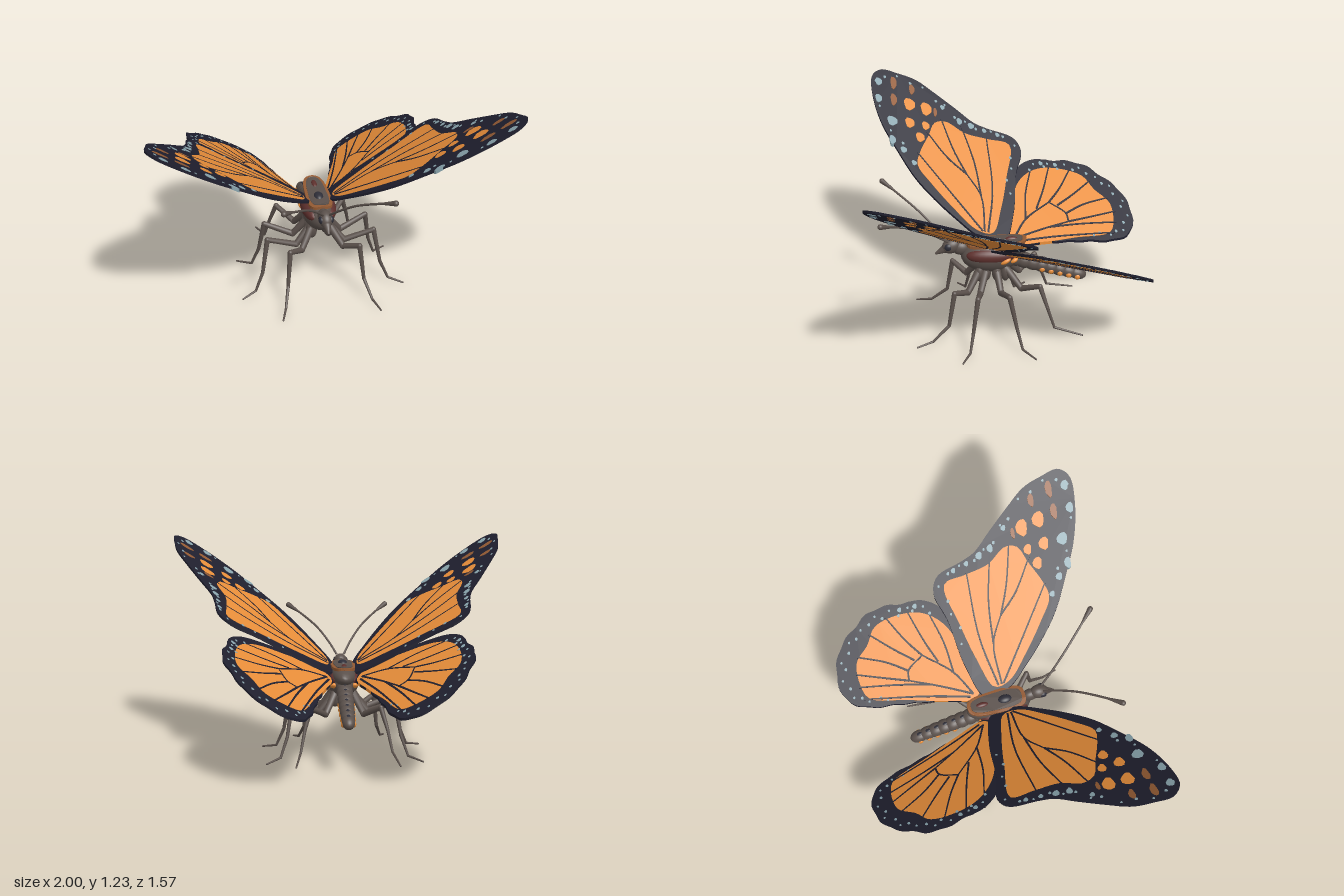
import * as THREE from 'three';
import { mergeGeometries } from 'three/addons/utils/BufferGeometryUtils.js';

const mat = (name, color) => {
  const m = new THREE.MeshStandardMaterial({ color });
  m.name = name;
  return m;
};

export function createModel() {
  const model = new THREE.Group();
  model.name = 'butterfly';
  const navy = mat('wing navy', 0x1f1f2e), orange = mat('wing orange', 0xea8f3a);
  const brown = mat('spot brown', 0x935a33), blue = mat('spot blue grey', 0x8aa5ae);
  const grey = mat('body grey brown', 0x5a504b), red = mat('thorax red brown', 0x5e302d);
  const dark = mat('dark marking', 0x2e2e38);

  const add = (parent, name, geo, material) => {
    const m = new THREE.Mesh(geo, material);
    m.name = name;
    parent.add(m);
    return m;
  };
  const blob = (parent, name, material, p, r, tilt = 0) => {
    const m = add(parent, name, new THREE.SphereGeometry(1, 24, 16), material);
    m.position.set(...p);
    m.scale.set(...r);
    m.rotation.x = tilt;
  };

  // ---- plates: an outline in x, z lifted onto a slanting plane
  const plate = (pts, plane, side, thick) => {
    const shape = new THREE.Shape(pts.map(([x, z]) => new THREE.Vector2(side * x, -z)));
    const g = new THREE.ExtrudeGeometry(shape, { depth: thick, bevelEnabled: false });
    g.rotateX(-Math.PI / 2);
    const p = g.attributes.position;
    for (let i = 0; i < p.count; i++) {
      const x = Math.abs(p.getX(i)), z = p.getZ(i);
      p.setY(i, p.getY(i) - thick / 2 + plane.a + plane.b * x + plane.c * z);
    }
    g.computeVertexNormals();
    return g;
  };
  const smooth = (pts, n = 80, closed = true) => {
    const c = new THREE.CatmullRomCurve3(pts.map(([x, z]) => new THREE.Vector3(x, 0, z)), closed);
    const out = c.getSpacedPoints(n).map(v => [v.x, v.z]);
    if (closed) out.pop();
    return out;
  };
  const spot = ([x, z, rx, rz = rx]) => Array.from({ length: 10 }, (_, i) => {
    const t = i * Math.PI / 5, k = i % 3 ? 1 : 0.85;
    return [x + Math.cos(t) * rx * k, z + Math.sin(t) * rz * k];
  });
  // tapering ribbon along a curved line
  const ribbon = (pts) => {
    const line = smooth(pts, 8, false), a = [], b = [];
    line.forEach(([x, z], i) => {
      const p = line[Math.max(i - 1, 0)], q = line[Math.min(i + 1, line.length - 1)];
      const l = Math.hypot(q[0] - p[0], q[1] - p[1]), w = 0.0055 - 0.002 * i / line.length;
      const nx = -(q[1] - p[1]) / l * w, nz = (q[0] - p[0]) / l * w;
      a.push([x + nx, z + nz]);
      b.unshift([x - nx, z - nz]);
    });
    return a.concat(b);
  };

  const forewing = {
    name: 'forewing', a: 0.46, b: 0.6, c: 0.24,
    outline: [[0.06, 0.02], [0.25, -0.05], [0.49, -0.08], [0.64, -0.12], [0.71, -0.08], [0.74, 0.08],
      [0.76, 0.16], [0.83, 0.27], [0.91, 0.4], [0.97, 0.51], [0.99, 0.62], [0.995, 0.72], [0.94, 0.775],
      [0.81, 0.77], [0.65, 0.72], [0.49, 0.625], [0.35, 0.53], [0.25, 0.43], [0.14, 0.29], [0.06, 0.16]],
    field: [[0.66, -0.05], [0.45, -0.02], [0.25, 0.025], [0.09, 0.085], [0.095, 0.18], [0.2, 0.31], [0.32, 0.43],
      [0.42, 0.51], [0.5, 0.495], [0.62, 0.44], [0.71, 0.4], [0.73, 0.33], [0.68, 0.22], [0.67, 0.08]],
    veins: [[[0.09, 0.11], [0.35, 0.07], [0.69, 0.09]], [[0.09, 0.13], [0.3, 0.14], [0.42, 0.22]],
      [[0.3, 0.14], [0.5, 0.17], [0.72, 0.24]], [[0.42, 0.22], [0.55, 0.29], [0.74, 0.36]],
      [[0.42, 0.22], [0.5, 0.33], [0.64, 0.45]], [[0.09, 0.14], [0.3, 0.33], [0.5, 0.51]]],
    orangeSpots: [[0.6, 0.49, 0.032, 0.028], [0.68, 0.455, 0.028, 0.024], [0.79, 0.45, 0.045, 0.035],
      [0.8, 0.55, 0.042, 0.036], [0.68, 0.55, 0.034, 0.03]],
    brownSpots: [[0.9, 0.535, 0.035, 0.018], [0.81, 0.645, 0.042, 0.02], [0.92, 0.645, 0.045, 0.02], [0.78, 0.395, 0.03, 0.012]],
    blueSpots: [[0.67, 0.655, 0.032], [0.55, 0.655, 0.03, 0.02], [0.5, 0.59, 0.02, 0.02], [0.43, 0.53, 0.016],
      [0.8, 0.735, 0.028, 0.022], [0.91, 0.735, 0.026, 0.022], [0.735, 0.18, 0.02], [0.75, 0.25, 0.022, 0.018],
      [0.71, 0.02, 0.014], [0.82, 0.35, 0.015], [0.72, 0.1, 0.014]],
    centre: [0.62, 0.36], dots: [0.1, 0.72], ripple: 0
  };
  const hindwing = {
    name: 'hindwing', a: 0.441, b: 0.554, c: 0.255,
    outline: [[0.06, 0.0], [0.08, -0.1], [0.13, -0.25], [0.18, -0.45], [0.23, -0.66], [0.3, -0.76], [0.41, -0.785],
      [0.5, -0.76], [0.58, -0.7], [0.64, -0.6], [0.68, -0.52], [0.685, -0.4], [0.665, -0.3], [0.65, -0.2],
      [0.58, -0.1], [0.4, -0.01], [0.2, 0.06], [0.07, 0.1]],
    field: [[0.075, -0.03], [0.12, -0.22], [0.19, -0.42], [0.265, -0.63], [0.33, -0.66], [0.46, -0.65], [0.53, -0.56],
      [0.6, -0.5], [0.62, -0.38], [0.59, -0.22], [0.5, -0.11], [0.35, -0.04], [0.15, 0.02]],
    veins: [[[0.1, -0.04], [0.2, -0.22], [0.28, -0.38]], [[0.1, -0.04], [0.24, -0.12], [0.38, -0.27]],
      [[0.28, -0.38], [0.33, -0.37], [0.38, -0.27]], [[0.09, -0.06], [0.17, -0.3], [0.27, -0.66]],
      [[0.22, -0.26], [0.28, -0.45], [0.34, -0.68]], [[0.28, -0.38], [0.34, -0.52], [0.41, -0.68]],
      [[0.33, -0.37], [0.41, -0.48], [0.49, -0.64]], [[0.37, -0.32], [0.46, -0.42], [0.58, -0.54]],
      [[0.38, -0.27], [0.48, -0.34], [0.63, -0.42]], [[0.32, -0.19], [0.45, -0.24], [0.62, -0.29]],
      [[0.24, -0.12], [0.4, -0.13], [0.56, -0.17]]],
    orangeSpots: [], brownSpots: [], blueSpots: [[0.63, -0.24, 0.014], [0.64, -0.33, 0.013]],
    centre: [0.4, -0.4], dots: [0.24, 0.72], ripple: 0.012
  };

  for (const wing of [forewing, hindwing]) for (const side of [1, -1]) {
    const g = new THREE.Group();
    g.name = (side > 0 ? 'left ' : 'right ') + wing.name;
    model.add(g);
    const [cx, cz] = wing.centre;
    const edge = smooth(wing.outline, 120).map(([x, z], i) => {
      const k = z < -0.25 ? 1 + wing.ripple * Math.sin(i * 0.9) : 1;
      return [cx + (x - cx) * k, cz + (z - cz) * k];
    });
    add(g, 'wing membrane', plate(edge, wing, side, 0.014), navy);
    add(g, 'orange field', plate(smooth(wing.field, 70), wing, side, 0.018), orange);
    // small paired dots following the outer margin
    const margin = [];
    for (let i = 0; i < 22; i++) {
      const t = wing.dots[0] + (wing.dots[1] - wing.dots[0]) * i / 21;
      const p = edge[Math.floor(t * edge.length)];
      const l = Math.hypot(p[0] - cx, p[1] - cz), k = 1 - (i % 2 ? 0.055 : 0.032) / l;
      margin.push([cx + (p[0] - cx) * k, cz + (p[1] - cz) * k, i % 2 ? 0.009 : 0.007]);
    }
    const many = (name, list, thick, material) => list.length &&
      add(g, name, mergeGeometries(list.map(s => plate(s, wing, side, thick))), material);
    many('veins', wing.veins.map(ribbon), 0.021, navy);
    many('orange spots', wing.orangeSpots.map(spot), 0.018, orange);
    many('brown spots', wing.brownSpots.map(spot), 0.019, brown);
    many('pale spots', wing.blueSpots.concat(margin).map(spot), 0.02, blue);
  }

  // ---- thorax with a thin band around the back plate
  blob(model, 'thorax', grey, [0, 0.45, 0.1], [0.095, 0.1, 0.175]);
  blob(model, 'upper thorax', grey, [0, 0.485, 0.075], [0.075, 0.062, 0.185]);
  const half = [[0.045, 0.235], [0.068, 0.19], [0.068, 0.05], [0.055, -0.06], [0.03, -0.1]];
  const ring = [...half, ...half.map(([x, z]) => [-x, z]).reverse()];
  const back = { a: 0.547, b: -0.15, c: -0.04 };
  add(model, 'back band', plate(smooth(ring, 50), back, 1, 0.016), brown);
  add(model, 'back plate', plate(smooth(ring.map(([x, z]) => [x * 0.76, 0.07 + (z - 0.07) * 0.88]), 50), back, 1, 0.022), grey);
  blob(model, 'back marking', dark, [0, 0.54, 0.12], [0.028, 0.024, 0.042]);
  blob(model, 'rear back marking', red, [0, 0.545, -0.02], [0.017, 0.018, 0.04]);
  for (const s of [1, -1]) {
    blob(model, 'thorax side', red, [s * 0.048, 0.47, 0.1], [0.052, 0.05, 0.145]);
    blob(model, 'side patch', orange, [s * 0.075, 0.445, 0.02], [0.025, 0.016, 0.035], 0.5);
    blob(model, 'rear side patch', orange, [s * 0.06, 0.44, -0.03], [0.02, 0.014, 0.025], 0.5);
  }

  // ---- head
  blob(model, 'neck', grey, [0, 0.5, 0.275], [0.034, 0.042, 0.05]);
  blob(model, 'head', grey, [0, 0.515, 0.33], [0.04, 0.044, 0.055], 0.4);
  const snout = add(model, 'snout', new THREE.CylinderGeometry(0.006, 0.032, 0.085, 16), grey);
  snout.position.set(0, 0.487, 0.385);
  snout.rotation.x = Math.PI / 2 + 0.5;
  for (const s of [1, -1]) blob(model, 'eye', dark, [s * 0.027, 0.518, 0.345], [0.016, 0.022, 0.024]);

  // ---- segmented abdomen
  for (let i = 0; i < 8; i++) {
    const t = i / 7, y = 0.425 - 0.113 * t, z = -0.04 - 0.365 * t;
    const r = 0.048 - 0.011 * t * t;
    blob(model, 'abdomen segment', grey, [0, y, z], [r, r, 0.056], -0.3);
    if (i > 0) blob(model, 'abdomen back mark', dark, [0, y + r * 0.87, z], [0.012, 0.008, 0.02], -0.3);
    if (i > 2) for (const s of [1, -1])
      blob(model, 'abdomen side spot', orange, [s * r * 0.78, y - r * 0.3, z], [0.014, 0.018, 0.017]);
  }

  // ---- jointed limbs: tapered rods with round joints
  const rod = (parent, name, p, q, r0, r1) => {
    const a = new THREE.Vector3(...p), b = new THREE.Vector3(...q), d = b.clone().sub(a);
    const m = add(parent, name, new THREE.CylinderGeometry(r1, r0, d.length(), 10), grey);
    m.position.copy(a).addScaledVector(d, 0.5);
    m.quaternion.setFromUnitVectors(new THREE.Vector3(0, 1, 0), d.normalize());
    blob(parent, 'joint', grey, q, [r1, r1, r1]);
  };
  const radii = [0.024, 0.018, 0.015, 0.01, 0.007, 0.005];
  const legs = {
    frontLeg: [[0.05, 0.38, 0.17], [0.12, 0.27, 0.24], [0.2, 0.31, 0.32], [0.22, 0.11, 0.355], [0.25, 0.025, 0.45], [0.28, 0.007, 0.54]],
    secondLeg: [[0.04, 0.38, 0.13], [0.14, 0.27, 0.17], [0.31, 0.33, 0.19], [0.345, 0.13, 0.22], [0.39, 0.025, 0.24], [0.47, 0.007, 0.285]],
    thirdLeg: [[0.05, 0.38, 0.07], [0.14, 0.27, 0.05], [0.3, 0.33, 0.01], [0.33, 0.14, -0.03], [0.37, 0.025, -0.06], [0.45, 0.007, -0.13]],
    rearLeg: [[0.05, 0.39, 0.02], [0.11, 0.28, -0.07], [0.2, 0.34, -0.17], [0.235, 0.22, -0.21], [0.26, 0.1, -0.25], [0.29, 0.06, -0.41]]
  };
  for (const s of [1, -1]) {
    for (const [name, path] of Object.entries(legs)) {
      const leg = new THREE.Group();
      leg.name = name;
      model.add(leg);
      const p = path.map(([x, y, z]) => [s * x, y, z]);
      for (let i = 0; i < 5; i++) rod(leg, 'leg segment', p[i], p[i + 1], radii[i], radii[i + 1]);
      blob(leg, 'hip', grey, [p[0][0], 0.36, p[0][2]], [0.032, 0.055, 0.028]);
    }
    // clubbed antenna
    const curve = new THREE.CatmullRomCurve3([[0.02, 0.55, 0.35], [0.06, 0.61, 0.42], [0.13, 0.69, 0.52], [0.22, 0.755, 0.63], [0.3, 0.8, 0.72]]
      .map(([x, y, z]) => new THREE.Vector3(s * x, y, z)));
    add(model, 'antenna', new THREE.TubeGeometry(curve, 30, 0.0065, 8), grey);
    const a = curve.getPoint(0.83), b = curve.getPoint(1);
    rod(model, 'antenna club', a.toArray(), b.toArray(), 0.007, 0.016);
  }
  return model;
}
